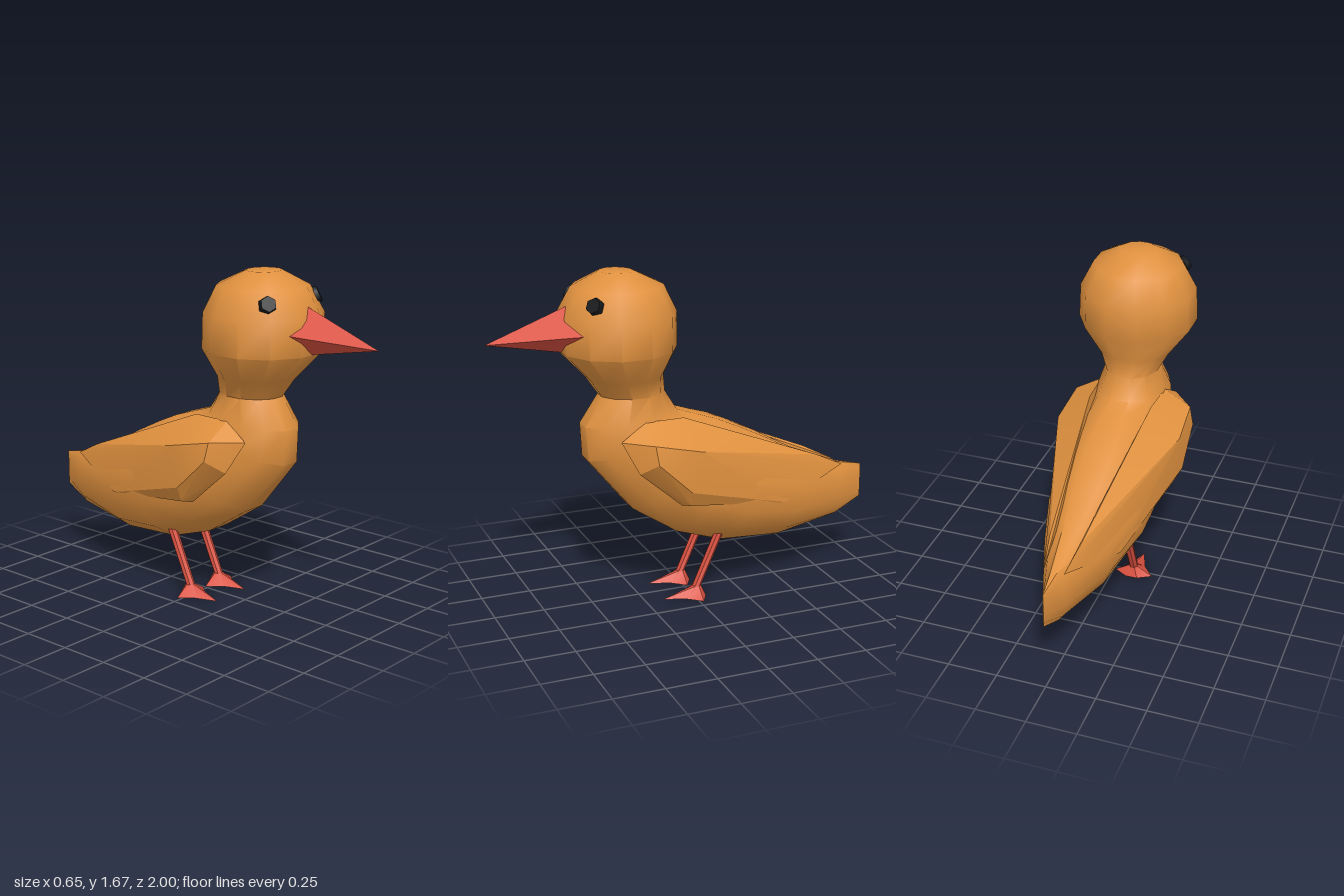
import * as THREE from 'three';
import { toCreasedNormals } from 'three/addons/utils/BufferGeometryUtils.js';
import { ConvexGeometry } from 'three/addons/geometries/ConvexGeometry.js';

const paint = (color) => new THREE.MeshStandardMaterial({ color });
const plumage = paint(0xe0913f);
const red = paint(0xd9503f);
const black = paint(0x15171a);
const V = (x, y, z) => new THREE.Vector3(x, y, z);

// Closed skin through a list of rings with equal point counts, capped at both ends
function loft(rings, crease) {
  const n = rings[0].length;
  const pos = [];
  const tri = (...pts) => pts.forEach((p) => pos.push(p.x, p.y, p.z));
  const centre = (ring) => ring.reduce((s, p) => s.add(p), V(0, 0, 0)).divideScalar(n);
  const first = rings[0], last = rings[rings.length - 1];
  const c0 = centre(first), c1 = centre(last);
  for (let i = 0; i < n; i++) {
    const j = (i + 1) % n;
    tri(c0, first[i], first[j]);
    tri(c1, last[j], last[i]);
    for (let r = 0; r + 1 < rings.length; r++) {
      const a = rings[r], b = rings[r + 1];
      tri(a[i], b[i], a[j]);
      tri(a[j], b[i], b[j]);
    }
  }
  const g = new THREE.BufferGeometry();
  g.setAttribute('position', new THREE.Float32BufferAttribute(pos, 3));
  return toCreasedNormals(g, crease);
}

function mesh(name, geometry, material) {
  const m = new THREE.Mesh(geometry, material);
  m.name = name;
  return m;
}

// Tilted oval from a breast/belly point to a nape/back point, with half width w
function oval([fz, fy, bz, by, w]) {
  const sides = 12, flat = Math.cos(Math.PI / sides);
  return Array.from({ length: sides }, (_, i) => {
    const a = ((i + 0.5) / sides) * Math.PI * 2;
    const k = Math.cos(a) / flat / 2;
    return V(w * Math.sin(a), (fy + by) / 2 + (fy - by) * k, (fz + bz) / 2 + (fz - bz) * k);
  });
}

// Webbed foot flowing up into a slanted leg
function legGeometry() {
  const outline = [[0, 0.16], [0.04, 0.05], [0.1, -0.02], [0.03, -0.06],
    [-0.03, -0.06], [-0.1, -0.02], [-0.04, 0.05]];
  const stem = (y, z, r) => outline.map((_, i) => {
    const a = (i / outline.length) * Math.PI * 2;
    return V(Math.sin(a) * r, y, z + Math.cos(a) * r);
  });
  const foot = outline.map(([x, z]) => V(x, 0, z));
  return loft([stem(0.34, -0.15, 0.024), stem(0.05, -0.02, 0.023), foot], 0.5);
}

// Folded wing on the +x side: thick at the shoulder, tapering to the tail
function wingGeometry() {
  return toCreasedNormals(new ConvexGeometry([
    V(0.19, 0.88, 0.4), V(0.17, 0.96, 0.27), V(0.16, 0.96, 0.07),
    V(0.25, 0.73, 0.33), V(0.235, 0.54, 0.11),
    V(0.305, 0.88, 0.27), V(0.325, 0.79, 0.26), V(0.325, 0.63, 0.09),
    V(0.285, 0.55, 0.08), V(0.32, 0.83, 0.04), V(0.19, 0.46, -0.47),
    V(0.17, 0.62, -0.47), V(0.05, 0.57, -0.86), V(0.08, 0.65, -0.7),
  ]), 0.4);
}

export function createModel() {
  const bird = new THREE.Group();
  bird.name = 'bird';

  // Head, neck, body and tail as one skin, from crown to tail edge
  const sections = [
    [0.43, 1.67, 0.27, 1.67, 0.09], [0.56, 1.6, 0.13, 1.6, 0.22],
    [0.63, 1.47, 0.07, 1.47, 0.287], [0.63, 1.3, 0.07, 1.3, 0.295],
    [0.5, 1.16, 0.13, 1.16, 0.19], [0.44, 1.07, 0.12, 1.07, 0.14],
    [0.53, 0.93, 0.06, 0.97, 0.18], [0.52, 0.76, -0.03, 0.94, 0.2],
    [0.3, 0.49, -0.15, 0.9, 0.245], [0.07, 0.34, -0.26, 0.85, 0.26],
    [-0.17, 0.26, -0.42, 0.77, 0.24], [-0.5, 0.235, -0.6, 0.67, 0.17],
    [-0.85, 0.29, -0.86, 0.57, 0.06], [-1, 0.36, -1, 0.54, 0.002],
  ];
  bird.add(mesh('body', loft(sections.map(oval), 0.8), plumage));

  // Beak
  const beak = toCreasedNormals(new ConvexGeometry([
    V(0.01, 1.37, 1), V(0.01, 1.53, 0.58), V(0.19, 1.41, 0.53),
    V(-0.15, 1.41, 0.53), V(0.01, 1.3, 0.62), V(0.01, 1.41, 0.45),
  ]), 0.1);
  bird.add(mesh('beak', beak, red));

  const wing = wingGeometry(), leg = legGeometry();
  const eye = new THREE.CylinderGeometry(0.038, 0.045, 0.03, 6).rotateX(Math.PI / 2);
  for (const [side, s] of [['left', 1], ['right', -1]]) {
    const w = mesh(side + 'Wing', wing, plumage);
    w.scale.x = s;
    const l = mesh(side + 'Leg', leg, red);
    l.position.x = s * 0.108;
    const e = mesh(side + 'Eye', eye, black);
    e.position.set(s * 0.182, 1.547, 0.52);
    e.lookAt(s * 0.5, 1.8, 0.93);
    bird.add(w, l, e);
  }
  return bird;
}
